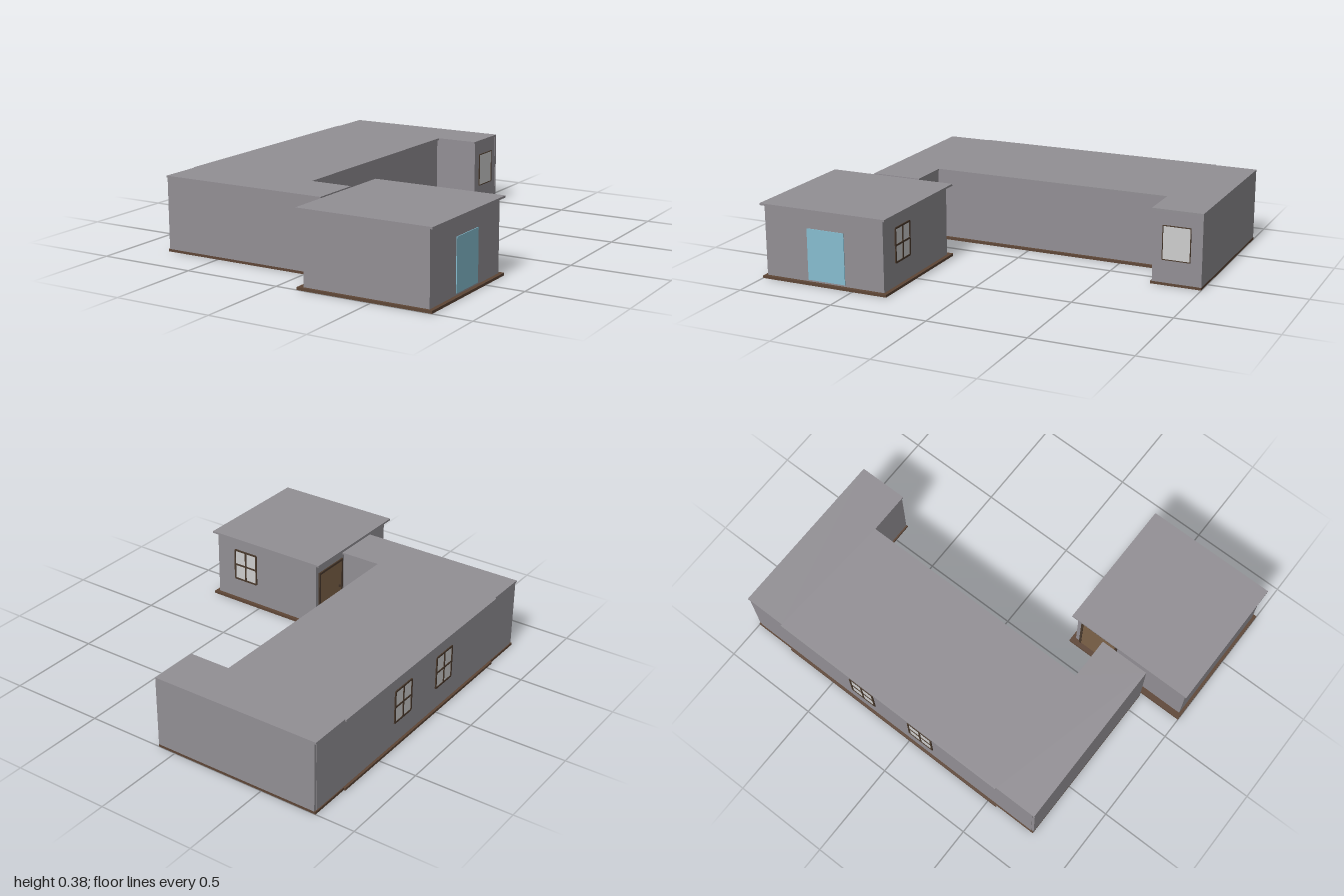
import * as THREE from 'three';

const mat = (name, color) => Object.assign(new THREE.MeshStandardMaterial({ color }), { name });

export function createModel() {
  const wall = mat('grey plaster', 0x928f94);
  const wood = mat('floor wood', 0x5e4636);
  const frameWood = mat('frame wood', 0x4a3a2d);
  const pane = mat('pale pane', 0xcdcdcd);
  const glass = mat('blue glass', 0x86bdd0);
  const doorWood = mat('door wood', 0x7d6249);

  const root = new THREE.Group();
  root.name = 'buildings';

  // Box given by its bounds
  function box(parent, name, material, x0, x1, y0, y1, z0, z1) {
    const mesh = new THREE.Mesh(new THREE.BoxGeometry(x1 - x0, y1 - y0, z1 - z0), material);
    mesh.position.set((x0 + x1) / 2, (y0 + y1) / 2, (z0 + z1) / 2);
    mesh.name = name;
    parent.add(mesh);
    return mesh;
  }

  // Horizontal slab from an outline of [x, z] points
  function slab(parent, name, material, outline, y0, y1) {
    const shape = new THREE.Shape(outline.map(([x, z]) => new THREE.Vector2(x, -z)));
    const geo = new THREE.ExtrudeGeometry(shape, { depth: y1 - y0, bevelEnabled: false });
    geo.rotateX(-Math.PI / 2);
    geo.translate(0, y0, 0);
    const mesh = new THREE.Mesh(geo, material);
    mesh.name = name;
    parent.add(mesh);
  }

  // Window facing +z before it is turned
  function addWindow(parent, x, z, turn, bars) {
    const w = 0.14, h = 0.17, t = bars ? 0.009 : 0.004;
    const g = new THREE.Group();
    g.name = 'window';
    box(g, 'pane', pane, -w / 2, w / 2, -h / 2, h / 2, -0.001, 0.002);
    for (const s of [-1, 1]) {
      box(g, 'frameSide', frameWood, s * w / 2 - t / 2, s * w / 2 + t / 2, -h / 2, h / 2, 0, 0.005);
      box(g, 'frameRail', frameWood, -w / 2, w / 2, s * h / 2 - t / 2, s * h / 2 + t / 2, 0, 0.005);
    }
    if (bars) {
      box(g, 'uprightBar', frameWood, -t / 2, t / 2, -h / 2, h / 2, 0, 0.005);
      box(g, 'crossBar', frameWood, -w / 2, w / 2, -t / 2, t / 2, 0, 0.005);
    }
    g.position.set(x, 0.215, z);
    g.rotation.y = turn;
    parent.add(g);
  }

  const Y0 = 0.013, Y1 = 0.37, TOP = 0.38, T = 0.014;

  // Long building with two arms
  const longHouse = new THREE.Group();
  longHouse.name = 'longBuilding';
  root.add(longHouse);
  const outline = [
    [-0.797, 0.774], [0.095, 0.774], [0.095, 0.513], [-0.125, 0.513],
    [-0.125, -0.742], [0.095, -0.742], [0.095, -1], [-0.797, -1],
    [-0.797, -0.78], [-0.805, -0.78], [-0.805, 0.55], [-0.797, 0.55],
  ];
  slab(longHouse, 'floor', wood, outline, 0, Y0);
  slab(longHouse, 'roof', wall, outline, Y1, TOP);
  box(longHouse, 'frontWall', wall, -0.79, 0.095, Y0, Y1, 0.774 - T, 0.774);
  box(longHouse, 'backWall', wall, -0.79, 0.095, Y0, Y1, -1, -1 + T);
  box(longHouse, 'outerWall', wall, -0.792, -0.792 + T, Y0, Y1, -1 + T, 0.774 - T);
  box(longHouse, 'courtWall', wall, -0.14 - T, -0.14, Y0, Y1, -0.75, 0.523);
  box(longHouse, 'frontArmCourtWall', wall, -0.14, 0.093, Y0, Y1, 0.523, 0.523 + T);
  box(longHouse, 'backArmCourtWall', wall, -0.14, 0.093, Y0, Y1, -0.75 - T, -0.75);
  box(longHouse, 'frontArmEnd', wall, 0.093 - T, 0.093, Y0, Y1, 0.523 + T, 0.774 - T);
  box(longHouse, 'backArmEnd', wall, 0.093 - T, 0.093, Y0, Y1, -1 + T, -0.75 - T);
  addWindow(longHouse, 0.093, -0.87, Math.PI / 2, false);
  for (const z of [-0.29, 0.075]) addWindow(longHouse, -0.792, z, -Math.PI / 2, true);

  // Small square building
  const smallHouse = new THREE.Group();
  smallHouse.name = 'smallBuilding';
  root.add(smallHouse);
  box(smallHouse, 'floor', wood, 0.11, 0.805, 0, Y0, 0.315, 1);
  box(smallHouse, 'roof', wall, 0.11, 0.805, Y1, TOP, 0.315, 1);
  box(smallHouse, 'frontWall', wall, 0.14, 0.785, Y0, Y1, 0.985 - T, 0.985);
  box(smallHouse, 'backWall', wall, 0.14, 0.785, Y0, Y1, 0.335, 0.335 + T);
  box(smallHouse, 'leftWall', wall, 0.785 - T, 0.785, Y0, Y1, 0.335 + T, 0.985 - T);
  box(smallHouse, 'rightWall', wall, 0.14, 0.14 + T, Y0, Y1, 0.335 + T, 0.985 - T);
  addWindow(smallHouse, 0.6, 0.335, Math.PI, true);

  // Doors
  box(smallHouse, 'glassDoor', glass, 0.784, 0.789, 0.022, 0.28, 0.547, 0.75);
  box(smallHouse, 'woodDoor', doorWood, 0.135, 0.141, 0.015, 0.3, 0.37, 0.565);
  for (const z of [0.365, 0.57])
    box(smallHouse, 'doorPost', frameWood, 0.132, 0.141, 0.015, 0.308, z - 0.006, z + 0.006);
  box(smallHouse, 'doorLintel', frameWood, 0.132, 0.141, 0.298, 0.31, 0.359, 0.576);
  box(smallHouse, 'doorHandle', frameWood, 0.128, 0.136, 0.15, 0.165, 0.54, 0.55);

  return root;
}
